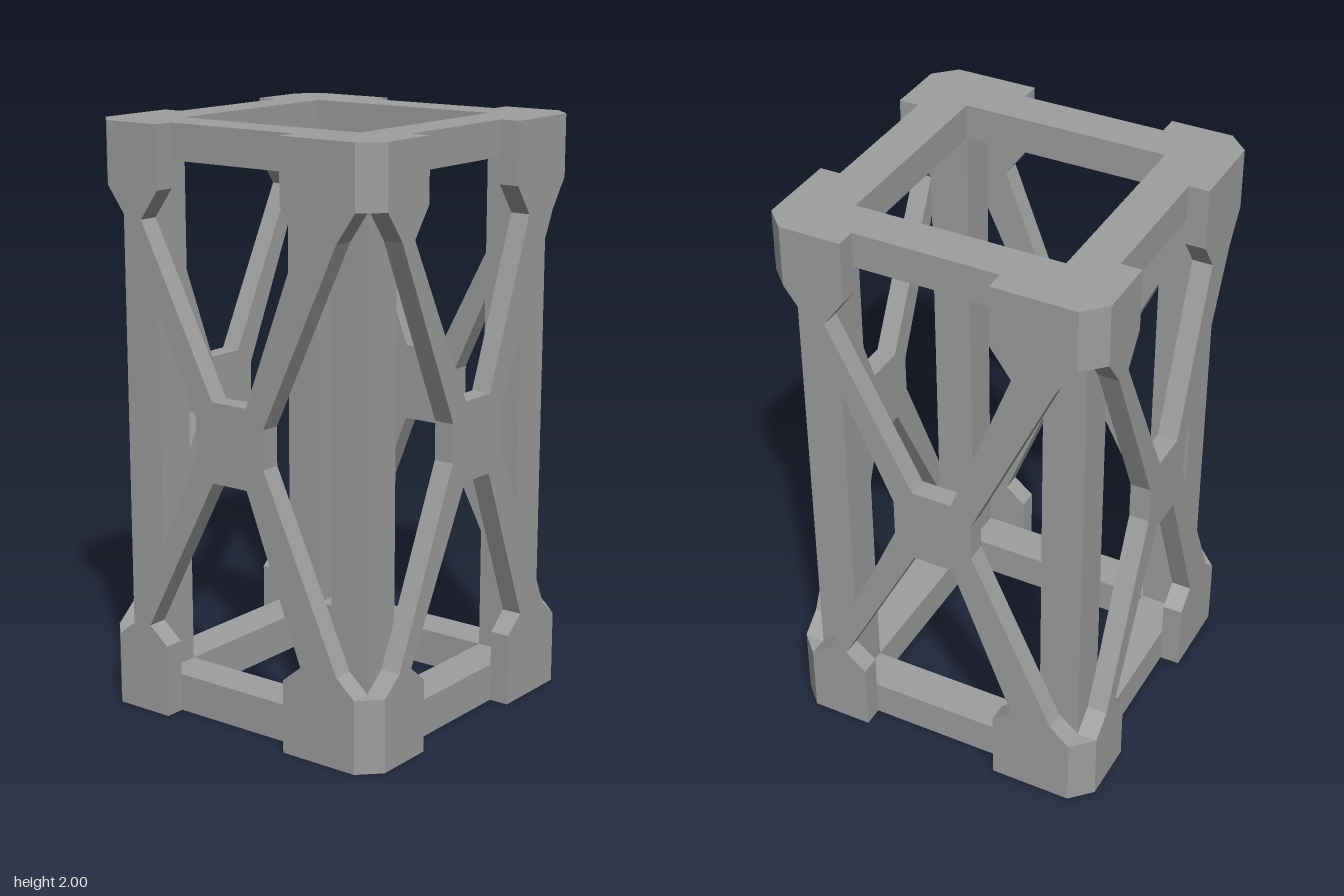
import * as THREE from 'three';

const OUT = 0.57, MID = 0.5, IN = 0.357, H = 2;
const RING_TOP = 1.88, RING_BOTTOM = 0.13;   // inner limits of the end frames
const PAD_TOP = 1.79, PAD_BOTTOM = 0.25;     // inner limits of the corner pads
const PAD_LEFT = -0.287, PAD_RIGHT = 0.213;  // inner edges of the corner pads

export function createModel() {
  const model = new THREE.Group();
  model.name = 'trussTower';
  const material = new THREE.MeshStandardMaterial({ color: 0x9e9e9e, flatShading: true });

  const toShape = (pts) => new THREE.Shape(pts.map(([x, y]) => new THREE.Vector2(x, y)));
  const extrude = (shape, depth) => new THREE.ExtrudeGeometry(shape, { depth, bevelEnabled: false });
  // Extrudes a floor plan upwards from y0 to y1
  const prism = (shape, y0, y1) => extrude(shape, y1 - y0).rotateX(-Math.PI / 2).translate(0, y0, 0);
  const add = (parent, name, geometry) => {
    const mesh = new THREE.Mesh(geometry, material);
    mesh.name = name;
    parent.add(mesh);
  };

  // Square end frames
  const ring = toShape([[-MID, -MID], [MID, -MID], [MID, MID], [-MID, MID]]);
  ring.holes.push(new THREE.Path([[-IN, -IN], [-IN, IN], [IN, IN], [IN, -IN]].map(([x, y]) => new THREE.Vector2(x, y))));
  add(model, 'bottomFrame', prism(ring, 0, RING_BOTTOM));
  add(model, 'topFrame', prism(ring, RING_TOP, H));

  // X-shaped brace with corner pads; the two sides of the opening differ
  const brace = toShape([
    // lower left pad and strut, up to the hub
    [-MID, 0], [PAD_LEFT, 0], [PAD_LEFT, PAD_BOTTOM], [-0.36, 0.31], [-0.07, 0.86],
    // lower right strut and pad
    [0.07, 0.86], [0.285, 0.31], [PAD_RIGHT, PAD_BOTTOM], [PAD_RIGHT, 0], [MID, 0],
    // right outer edge
    [MID, PAD_BOTTOM], [0.43, 0.31], [0.14, 0.94], [0.14, 1.07], [0.43, 1.69], [MID, PAD_TOP],
    // upper right pad and strut, over the hub
    [MID, H], [PAD_RIGHT, H], [PAD_RIGHT, PAD_TOP], [0.285, 1.69], [0.07, 1.13],
    // upper left strut and pad
    [-0.07, 1.13], [-0.36, 1.69], [PAD_LEFT, PAD_TOP], [PAD_LEFT, H], [-MID, H],
    // left outer edge
    [-MID, PAD_TOP], [-0.425, 1.69], [-0.14, 1.07], [-0.14, 0.94], [-0.425, 0.31], [-MID, PAD_BOTTOM],
  ]);
  const braceGeometry = extrude(brace, OUT - MID).translate(0, 0, MID);

  // Square corner post
  const postMid = (MID + IN) / 2;
  const postGeometry = new THREE.BoxGeometry(MID - IN, RING_TOP - RING_BOTTOM, MID - IN)
    .translate(postMid, (RING_TOP + RING_BOTTOM) / 2, postMid);

  // Triangular fillers that chamfer the corners between neighbouring pads
  const corner = toShape([[MID, -MID], [MID, -OUT], [OUT, -MID]]);
  const lowerCorner = prism(corner, 0, PAD_BOTTOM);
  const upperCorner = prism(corner, PAD_TOP, H);

  // The same side is repeated around the vertical axis
  ['front', 'left', 'back', 'right'].forEach((name, i) => {
    const side = new THREE.Group();
    side.name = `${name}Side`;
    side.rotation.y = i * Math.PI / 2;
    add(side, 'crossBrace', braceGeometry);
    add(side, 'cornerPost', postGeometry);
    add(side, 'lowerCornerChamfer', lowerCorner);
    add(side, 'upperCornerChamfer', upperCorner);
    model.add(side);
  });

  return model;
}
